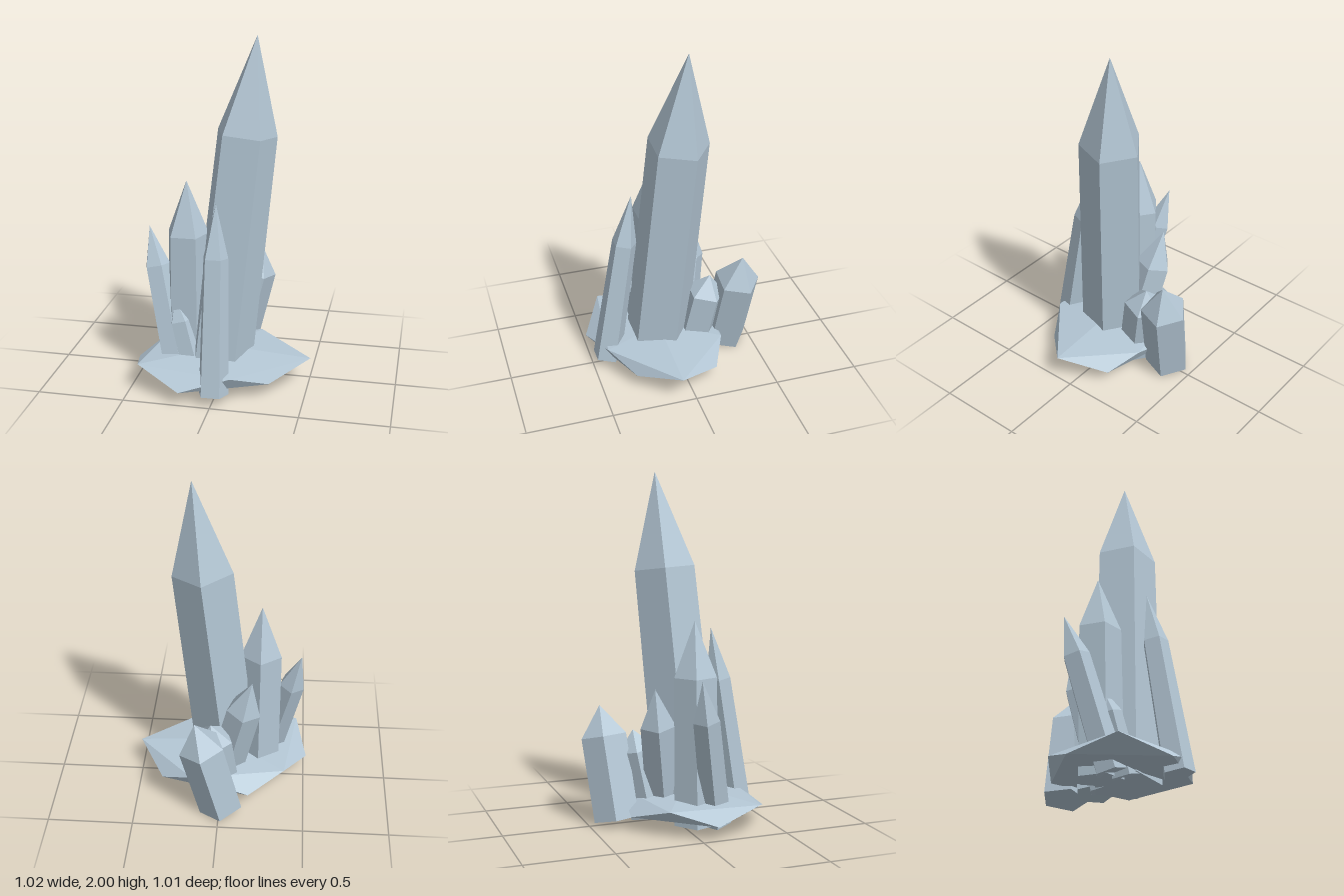
import * as THREE from 'three';

const stone = new THREE.MeshStandardMaterial({ color: 0xb4c7d5, flatShading: true });
stone.name = 'paleBlueCrystal';

const v = (p) => new THREE.Vector3(...p);

function addMesh(group, name, geometry) {
  const flat = geometry.index ? geometry.toNonIndexed() : geometry;
  flat.computeVertexNormals();
  const mesh = new THREE.Mesh(flat, stone);
  mesh.name = name;
  group.add(mesh);
  return mesh;
}

// Five-sided prism with a pointed tip, leaning from base to tip
function addCrystal(group, name, base, tip, baseRadius, shoulderRadius, shoulder) {
  const axis = v(tip).sub(v(base));
  const length = axis.length();
  const profile = [
    new THREE.Vector2(0, 0),
    new THREE.Vector2(baseRadius, 0),
    new THREE.Vector2(shoulderRadius, length * shoulder),
    new THREE.Vector2(0, length),
  ];
  const mesh = addMesh(group, name, new THREE.LatheGeometry(profile, 5, Math.PI));
  mesh.quaternion.setFromUnitVectors(new THREE.Vector3(0, 1, 0), axis.normalize());
  mesh.position.set(...base);
}

// Flattened, uneven icosahedron: top point, zigzag rim, bottom point
function rockGeometry() {
  const upper = [[-0.45, 0.16, 0.36], [0.1, 0.15, 0.425], [0.51, 0.16, 0.085], [0.17, 0.16, -0.26], [-0.38, 0.15, -0.15]];
  const lower = [[-0.18, 0.075, 0.5], [0.3, 0.08, 0.3], [0.355, 0.08, -0.17], [-0.17, 0.08, -0.305], [-0.515, 0.08, 0.085]];
  const top = [0, 0.195, 0.085];
  const bottom = [-0.02, 0.04, 0.08];
  const corners = [];
  for (let i = 0; i < 5; i++) {
    const j = (i + 1) % 5;
    corners.push(top, upper[i], upper[j]);
    corners.push(upper[i], lower[i], upper[j]);
    corners.push(lower[i], lower[j], upper[j]);
    corners.push(bottom, lower[j], lower[i]);
  }
  return new THREE.BufferGeometry().setFromPoints(corners.map(v));
}

export function createModel() {
  const group = new THREE.Group();
  group.name = 'crystalCluster';

  addMesh(group, 'rockBase', rockGeometry());

  // name, base, tip, base radius, shoulder radius, shoulder height fraction
  const crystals = [
    ['mainCrystal', [-0.035, 0.03, 0.092], [0.16, 2.0, -0.045], 0.197, 0.18, 0.722],
    ['tallRightCrystal', [-0.22, 0.02, 0.065], [-0.225, 1.18, 0.052], 0.13, 0.125, 0.73],
    ['outerRightCrystal', [-0.265, 0.03, 0.17], [-0.46, 0.88, 0.005], 0.086, 0.077, 0.735],
    ['frontCrystal', [0, 0.04, 0.408], [-0.015, 1.11, 0.235], 0.09, 0.074, 0.72],
    ['backCrystal', [-0.012, 0.03, -0.34], [0.135, 0.67, -0.395], 0.133, 0.135, 0.73],
    ['backRightCrystal', [-0.01, 0.04, -0.045], [-0.18, 0.8, -0.165], 0.11, 0.105, 0.72],
    ['innerBackCrystal', [0, 0.03, -0.13], [0.055, 0.53, -0.22], 0.12, 0.118, 0.77],
    ['smallFrontCrystal', [-0.155, 0.03, 0.18], [-0.28, 0.49, 0.13], 0.08, 0.07, 0.72],
  ];
  for (const crystal of crystals) addCrystal(group, ...crystal);

  return group;
}
